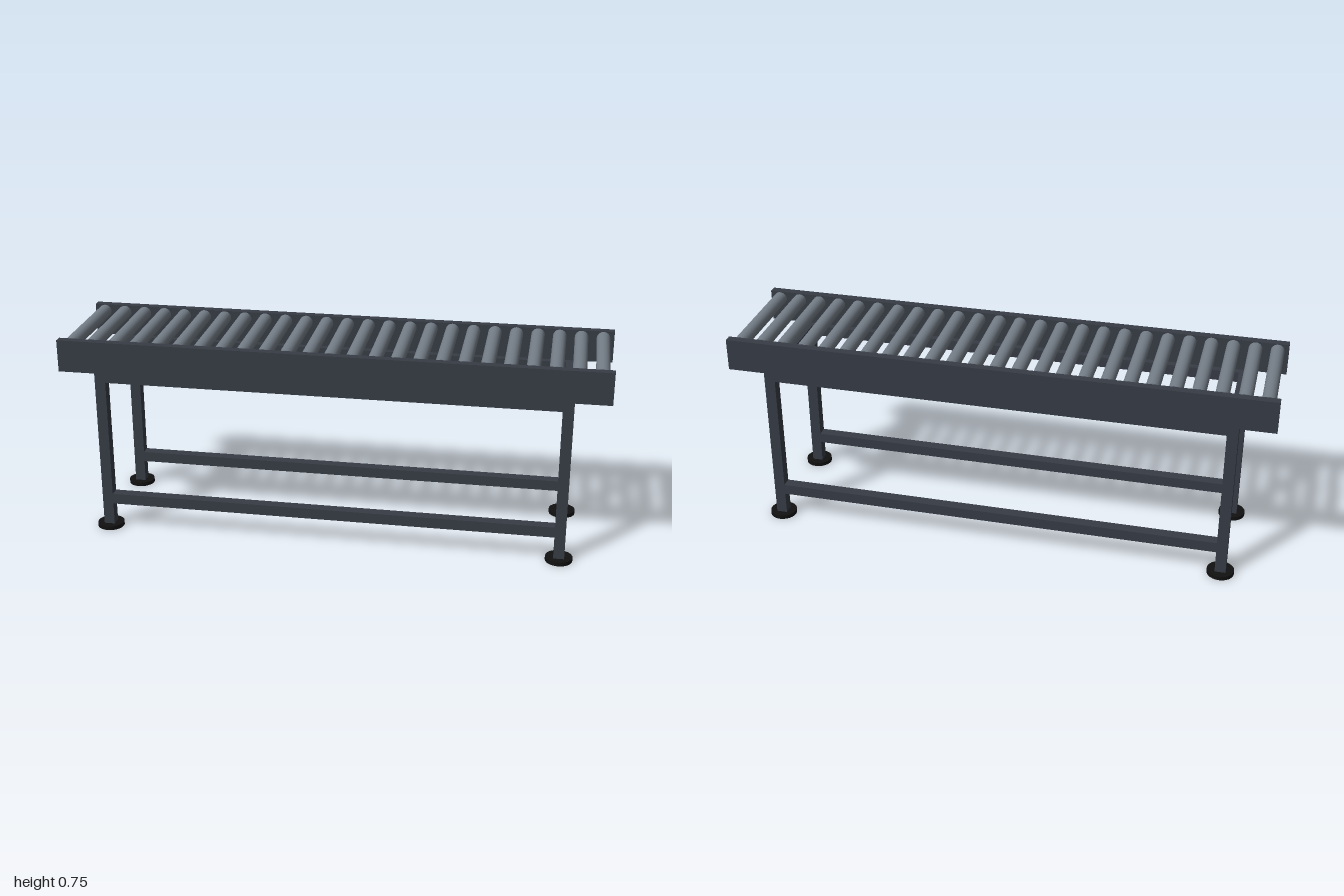
import * as THREE from 'three';

const frameMat = new THREE.MeshStandardMaterial({ color: 0x373c45 });
const rollerMat = new THREE.MeshStandardMaterial({ color: 0x747d87 });
const footMat = new THREE.MeshStandardMaterial({ color: 0x111111 });

const BAR = 0.04;                    // square tube size
const LEG_X = 0.85, LEG_Z = 0.2;     // leg centres
const FRAME_TOP = 0.63, FOOT_H = 0.015;

export function createModel() {
  const model = new THREE.Group();
  model.name = 'rollerConveyor';

  const add = (name, geometry, material, x, y, z) => {
    const mesh = new THREE.Mesh(geometry, material);
    mesh.name = name;
    mesh.position.set(x, y, z);
    model.add(mesh);
    return mesh;
  };
  const bar = (name, w, h, d, x, y, z) =>
    add(name, new THREE.BoxGeometry(w, h, d), frameMat, x, y, z);

  const legH = FRAME_TOP - FOOT_H;
  const spanX = 2 * LEG_X - BAR, spanZ = 2 * LEG_Z - BAR;
  const beamY = FRAME_TOP - BAR / 2;

  for (const sz of [-1, 1]) {
    const side = sz > 0 ? 'front' : 'back';

    // Tall side rail holding the rollers, and the tubes joining the legs
    bar(side + 'SideRail', 2, 0.12, 0.03, 0, 0.69, sz * 0.22);
    bar(side + 'UpperBeam', spanX, BAR, BAR, 0, beamY, sz * LEG_Z);
    bar(side + 'LowerBrace', spanX, BAR, BAR, 0, 0.12, sz * LEG_Z);

    // Legs on round foot pads
    for (const sx of [-1, 1]) {
      const corner = side + (sx > 0 ? 'Left' : 'Right');
      bar(corner + 'Leg', BAR, legH, BAR, sx * LEG_X, FOOT_H + legH / 2, sz * LEG_Z);
      add(corner + 'Foot', new THREE.CylinderGeometry(0.05, 0.05, FOOT_H, 24),
        footMat, sx * LEG_X, FOOT_H / 2, sz * LEG_Z);
    }
  }

  // Cross beams between the front and back legs
  for (const sx of [-1, 1]) {
    bar(sx > 0 ? 'leftCrossBeam' : 'rightCrossBeam', BAR, BAR, spanZ, sx * LEG_X, beamY, 0);
  }

  // Row of rollers
  const rollerGeo = new THREE.CylinderGeometry(0.025, 0.025, 0.4, 24);
  rollerGeo.rotateX(Math.PI / 2);
  for (let i = 0; i < 25; i++) {
    add('roller' + (i + 1), rollerGeo, rollerMat, -0.96 + i * 0.08, 0.725, 0);
  }

  return model;
}
